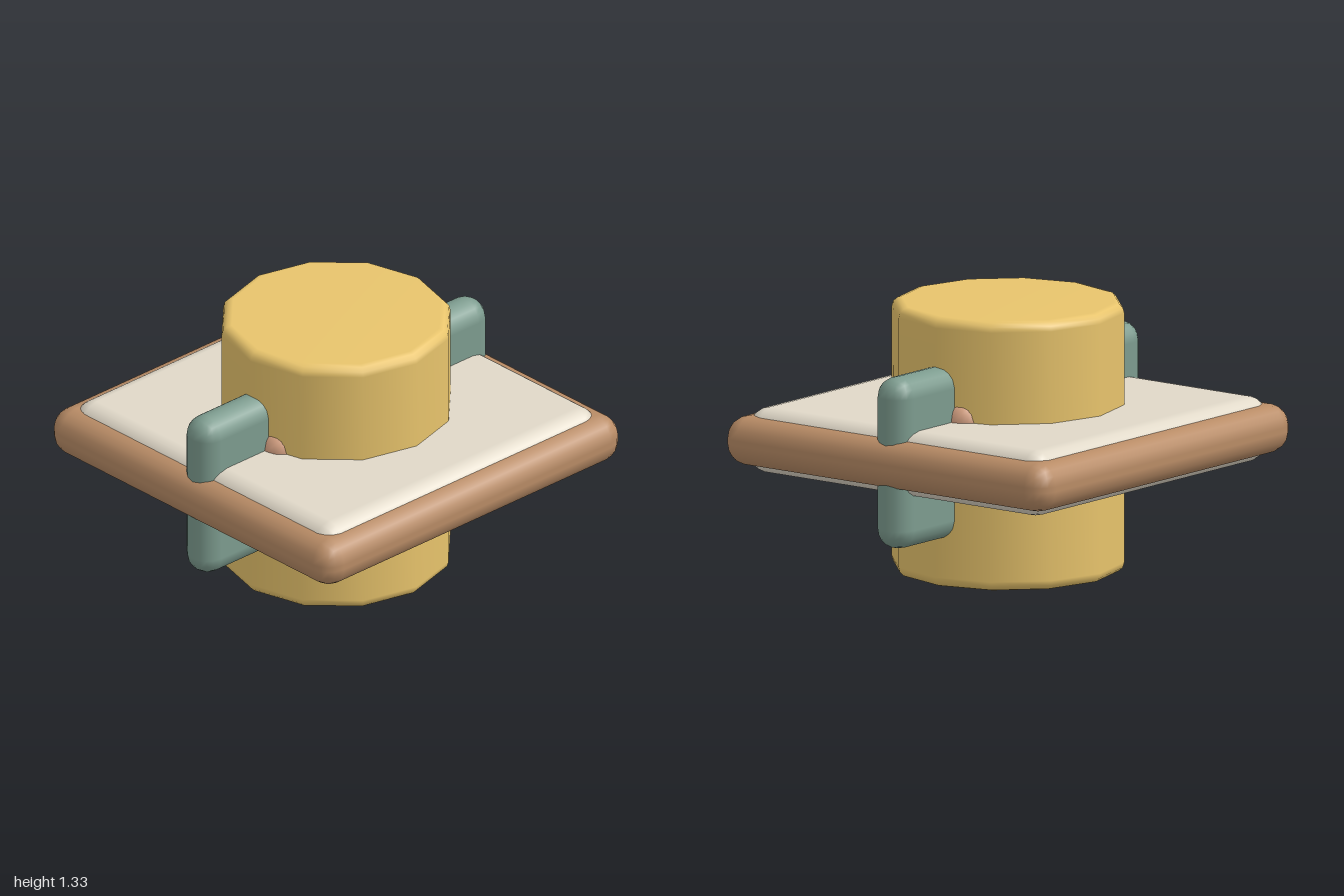
import * as THREE from 'three';
import { RoundedBoxGeometry } from 'three/addons/geometries/RoundedBoxGeometry.js';

const MID = 0.667; // every part is centred on this height

function addPart(group, name, geometry, color) {
  const mesh = new THREE.Mesh(geometry, new THREE.MeshStandardMaterial({ color }));
  mesh.name = name;
  mesh.position.y = MID;
  group.add(mesh);
}

// Twelve-sided drum with softly rounded rims, centred on the origin
function drumGeometry(radius, height, bevel, steps = 3) {
  const half = height / 2;
  const points = [new THREE.Vector2(0, -half)];
  for (const side of [-1, 1]) {
    for (let i = 0; i <= steps; i++) {
      const a = (side < 0 ? i - steps : i) / steps * Math.PI / 2;
      points.push(new THREE.Vector2(
        radius - bevel + bevel * Math.cos(a),
        side * (half - bevel) + bevel * Math.sin(a)));
    }
  }
  points.push(new THREE.Vector2(0, half));
  return new THREE.LatheGeometry(points, 12);
}

export function createModel() {
  const model = new THREE.Group();
  model.name = 'drumWithPlate';

  // Central drum
  addPart(model, 'drum', drumGeometry(0.57, 1.334, 0.05), 0xe8c46c);

  // Square plate: brown rim around a thicker, smaller pale panel
  addPart(model, 'plateRim', new RoundedBoxGeometry(2, 0.245, 2, 2, 0.11), 0xb98c66);
  addPart(model, 'platePanel', new RoundedBoxGeometry(1.84, 0.325, 1.84, 2, 0.1), 0xe0d8c8);

  // Upright fin through the drum, showing on both sides
  addPart(model, 'sideFins', new RoundedBoxGeometry(1.915, 0.85, 0.2, 2, 0.099), 0x7d9c8f);

  // Pads where the fins meet the drum
  addPart(model, 'finPads', new RoundedBoxGeometry(1.14, 0.53, 0.42, 2, 0.1), 0xdba586);

  return model;
}
